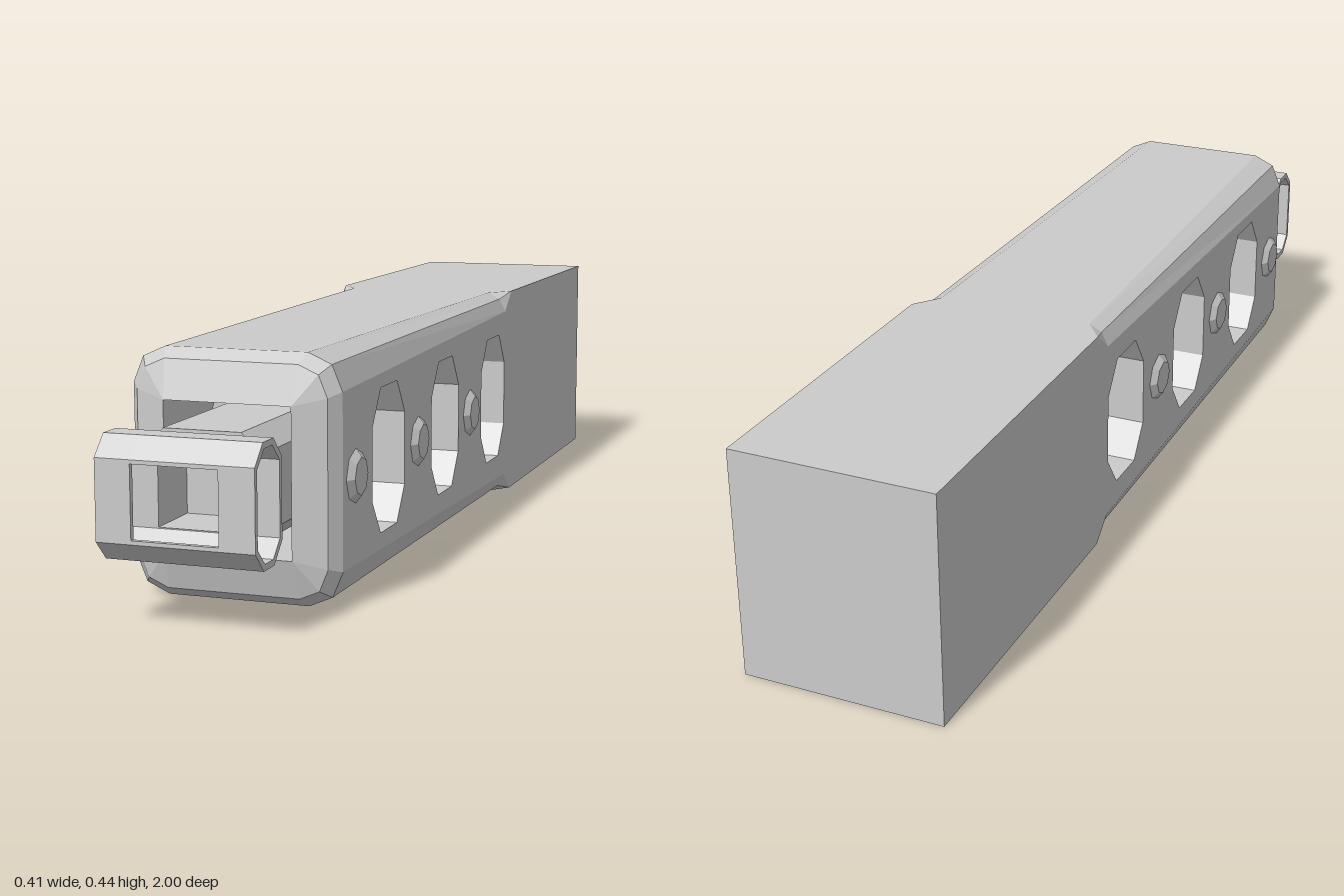
import * as THREE from 'three';

const W = 0.193, H = 0.44, MID = 0.22;
const material = new THREE.MeshStandardMaterial({ color: 0xcccccc, flatShading: true });

function add(group, name, geometry) {
  const mesh = new THREE.Mesh(geometry, material);
  mesh.name = name;
  group.add(mesh);
  return mesh;
}

const toPoints = (list) => list.map(([a, b]) => new THREE.Vector2(a, b));

// Octagon from half sizes and half lengths of its flats
function octagon(cx, cy, hx, hy, fx, fy) {
  return toPoints([[hx, -fy], [hx, fy], [fx, hy], [-fx, hy], [-hx, fy], [-hx, -fy], [-fx, -hy], [fx, -hy]]
    .map(([x, y]) => [cx + x, cy + y]));
}

// Extrude a (z, y) profile sideways between x0 and x1
function extrudeAcross(shape, x0, x1) {
  return new THREE.ExtrudeGeometry(shape, { depth: x1 - x0, bevelEnabled: false })
    .rotateY(-Math.PI / 2).translate(x1, 0, 0);
}

// Twelve-point rectangle section with two-step corners
function section(z, w, y0, y1, cut = 0, mid = 0) {
  const corner = (sx, y, sy) => [
    [sx * w, y - sy * cut], [sx * (w - mid), y - sy * mid], [sx * (w - cut * 0.95), y],
  ];
  return [
    ...corner(1, y1, 1), ...corner(-1, y1, 1).reverse(),
    ...corner(-1, y0, -1), ...corner(1, y0, -1).reverse(),
  ].map(([x, y]) => [x, y, z]);
}

// Join sections; openSpans lists spans whose two side walls are left out
function loft(rings, openSpans) {
  const pos = [];
  for (let s = 0; s < rings.length - 1; s++) {
    const a = rings[s], b = rings[s + 1];
    for (let i = 0; i < 12; i++) {
      if (openSpans.includes(s) && (i === 5 || i === 11)) continue;
      const j = (i + 1) % 12;
      pos.push(...a[i], ...a[j], ...b[j], ...a[i], ...b[j], ...b[i]);
    }
  }
  const geometry = new THREE.BufferGeometry();
  geometry.setAttribute('position', new THREE.Float32BufferAttribute(pos, 3));
  geometry.computeVertexNormals();
  return geometry;
}

export function createModel() {
  const model = new THREE.Group();
  model.name = 'slottedBarrelAssembly';

  // Square rear block
  add(model, 'rearBlock', new THREE.BoxGeometry(2 * W, H, 0.65).translate(0, MID, -0.675));

  // Bevelled front housing with its inner channel
  const channel = (z) => section(z, 0.117, 0.088, 0.353);
  add(model, 'housing', loft([
    section(-0.35, W, 0, H),
    section(-0.3, W, 0, H, 0.04, 0.013),
    section(0.74, W, 0, H, 0.065, 0.019),
    section(0.765, 0.175, 0.018, 0.422, 0.055, 0.016),
    channel(0.785), channel(0.74), channel(-0.3), channel(-0.33),
    section(-0.33, 0, MID, MID),
  ], [1, 5]));

  // Side walls with three octagonal vents
  const wall = new THREE.Shape(toPoints([[-0.3, 0.04], [0.74, 0.065], [0.74, 0.375], [-0.3, 0.4]]));
  for (const z of [0.495, 0.145, -0.205]) {
    wall.holes.push(new THREE.Path(octagon(z, 0.222, 0.091, 0.132, 0.046, 0.068)));
  }
  add(model, 'leftWall', extrudeAcross(wall, 0.117, W));
  add(model, 'rightWall', extrudeAcross(wall, -W, -0.117));

  // Small faceted studs between the vents
  for (const side of [1, -1]) {
    for (const z of [0.675, 0.32, -0.03]) {
      const stud = new THREE.CylinderGeometry(0.034, 0.06, 0.02, 8)
        .rotateZ(-side * Math.PI / 2).translate(side * 0.194, MID, z);
      add(model, 'sideStud', stud);
    }
  }

  // Octagonal inner barrel, bored at the front
  const barrel = new THREE.Shape(octagon(0, 0.222, 0.105, 0.102, 0.07, 0.067));
  barrel.holes.push(new THREE.Path(toPoints([[-0.077, 0.157], [-0.077, 0.283], [0.077, 0.283], [0.077, 0.157]])));
  add(model, 'barrel', new THREE.ExtrudeGeometry(barrel, { depth: 1.215, bevelEnabled: false })
    .translate(0, 0, -0.328));
  add(model, 'borePlug', new THREE.BoxGeometry(0.154, 0.126, 0.04).translate(0, MID, 0.76));

  // Muzzle frame: full octagonal rings at the ends, open front and back between them
  const ring = new THREE.Shape(octagon(0.9425, MID, 0.0575, 0.105, 0.0225, 0.07));
  ring.holes.push(new THREE.Path(octagon(0.9425, MID, 0.0475, 0.094, 0.0175, 0.065)));
  add(model, 'muzzleLeft', extrudeAcross(ring, 0.077, 0.14));
  add(model, 'muzzleRight', extrudeAcross(ring, -0.14, -0.077));
  const arch = [
    [0.885, 0.283], [0.885, 0.29], [0.92, 0.325], [0.965, 0.325], [1, 0.29], [1, 0.283],
    [0.99, 0.283], [0.99, 0.285], [0.96, 0.314], [0.925, 0.314], [0.895, 0.285], [0.895, 0.283],
  ];
  add(model, 'muzzleTop', extrudeAcross(new THREE.Shape(toPoints(arch)), -0.077, 0.077));
  const sill = arch.map(([z, y]) => [z, 2 * MID - y]);
  add(model, 'muzzleBottom', extrudeAcross(new THREE.Shape(toPoints(sill)), -0.077, 0.077));

  return model;
}
